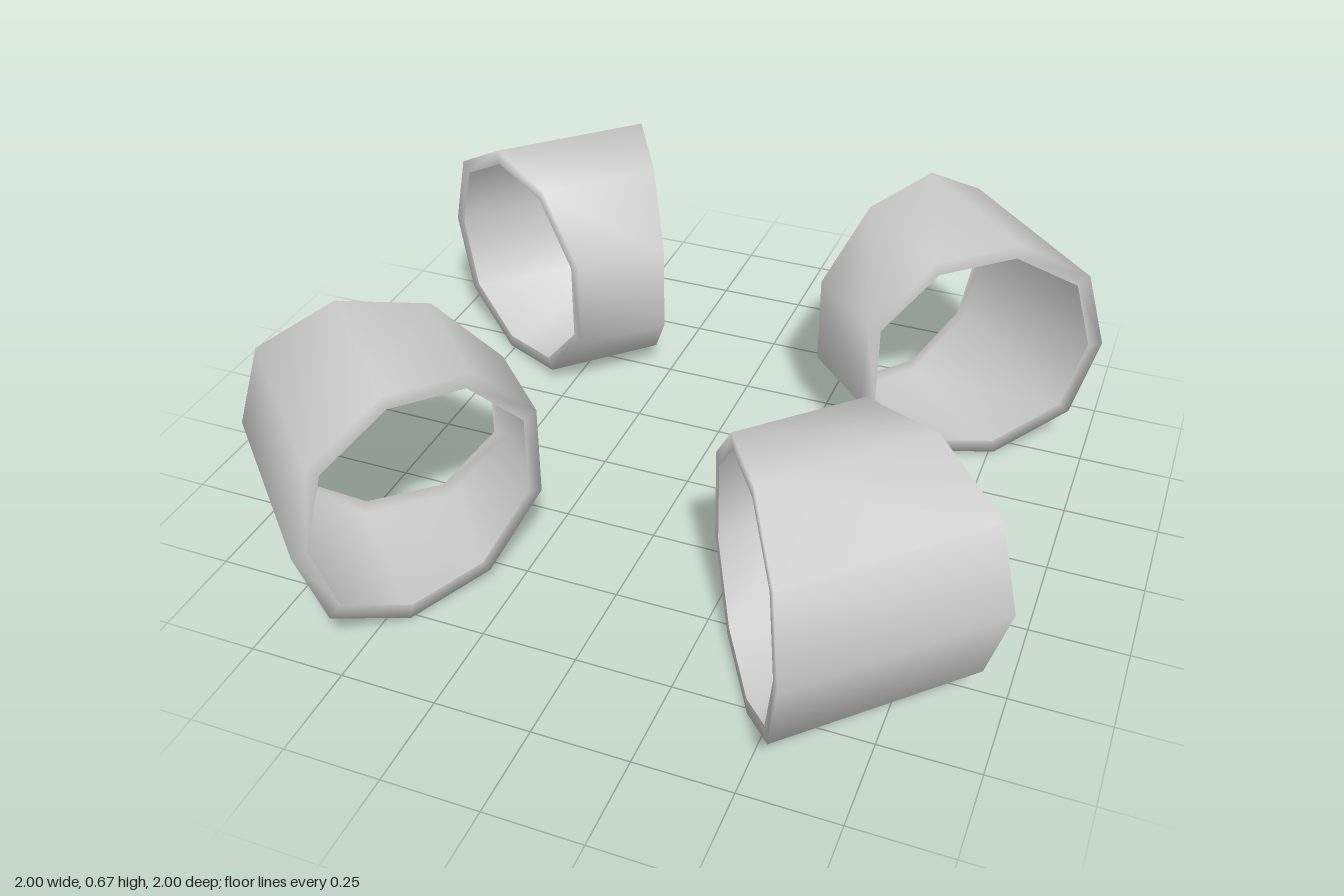
import * as THREE from 'three';

const PIVOT = -0.047;   // bend axis position on x and z
const BEND_R = 0.877;   // bend axis to pipe centre
const CENTRE_Y = 0.339;
const LIP_SCALE = 0.885; // opening relative to the pipe wall
const HALF_ANGLE = THREE.MathUtils.degToRad(13.8);

// Upper half of the nine-sided pipe section: distance from bend axis, height
const HALF_SECTION = [[1.223, 0], [1.156, 0.221], [0.949, 0.337], [0.714, 0.304], [0.546, 0.125]];
const SECTION = [
  ...HALF_SECTION,
  ...HALF_SECTION.slice(1).reverse().map(([rho, y]) => [rho, -y]),
];
const SIDES = SECTION.length;

// Section swung round the bend axis, scaled about the pipe centre
function ring(angle, scale) {
  return SECTION.flatMap(([r, y]) => {
    const rho = BEND_R + (r - BEND_R) * scale;
    return [
      PIVOT + rho * Math.cos(angle),
      CENTRE_Y + y * scale,
      PIVOT + rho * Math.sin(angle),
    ];
  });
}

// Thin pipe wall with a flat inward lip at each end, smoothed as one surface
function bendGeometry() {
  const start = Math.PI / 4 - HALF_ANGLE, end = Math.PI / 4 + HALF_ANGLE;
  const rings = [ring(start, LIP_SCALE), ring(start, 1), ring(end, 1), ring(end, LIP_SCALE)];
  const indices = [];
  for (let k = 0; k < rings.length - 1; k++) {
    for (let i = 0; i < SIDES; i++) {
      const a = k * SIDES + i, b = k * SIDES + ((i + 1) % SIDES);
      indices.push(a, b, b + SIDES, a, b + SIDES, a + SIDES);
    }
  }
  const geometry = new THREE.BufferGeometry();
  geometry.setAttribute('position', new THREE.Float32BufferAttribute(rings.flat(), 3));
  geometry.setIndex(indices);
  geometry.computeVertexNormals();
  return geometry;
}

export function createModel() {
  const model = new THREE.Group();
  model.name = 'pipeBends';
  const material = new THREE.MeshStandardMaterial({ color: 0xcccccc, side: THREE.DoubleSide });
  const geometry = bendGeometry();

  // One bend in each corner, a quarter turn apart
  ['frontLeftBend', 'backLeftBend', 'backRightBend', 'frontRightBend'].forEach((name, i) => {
    const bend = new THREE.Mesh(geometry, material);
    bend.name = name;
    bend.rotation.y = (i * Math.PI) / 2;
    model.add(bend);
  });
  return model;
}
